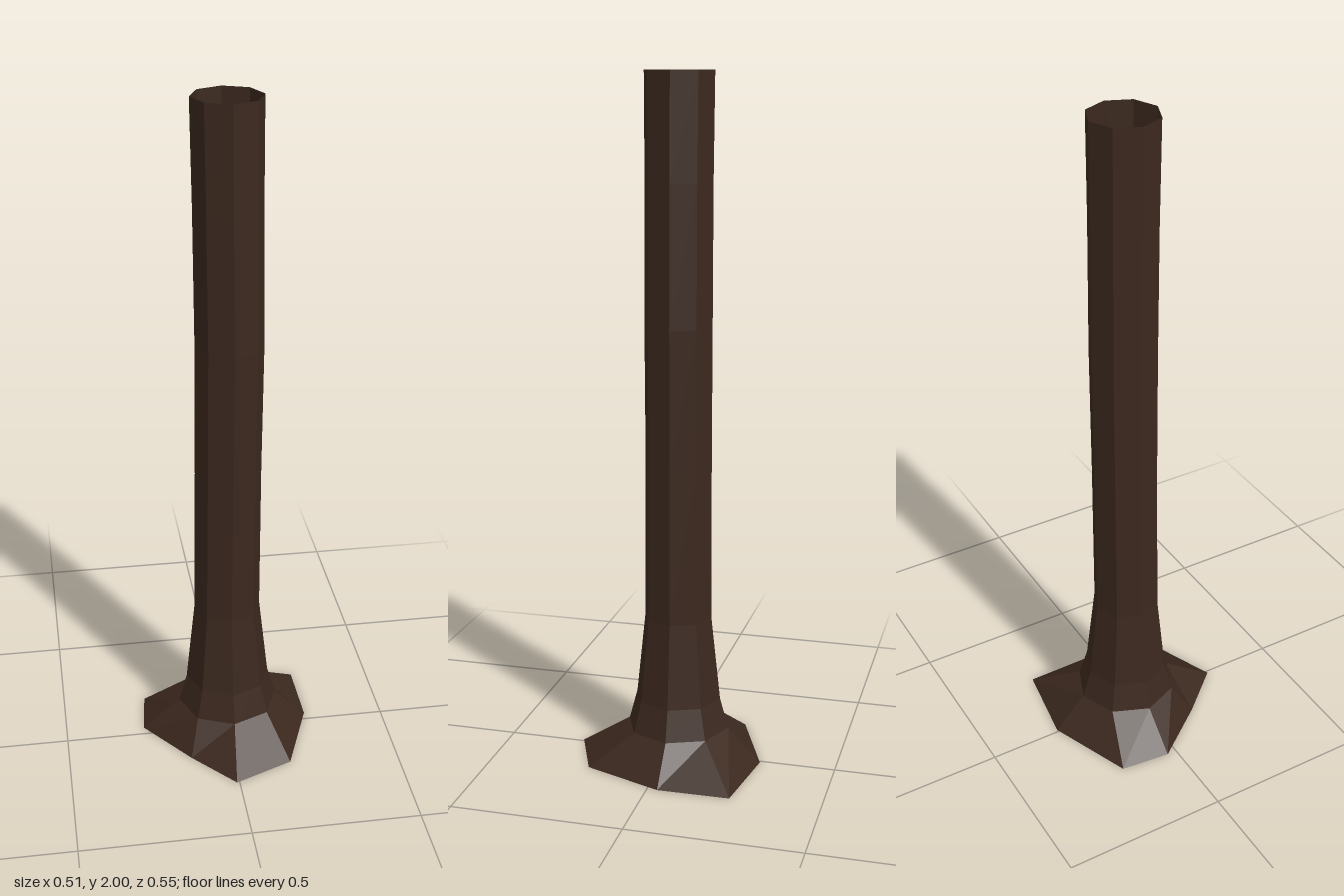
import * as THREE from 'three';

const SIDES = 8;

// Eight-sided ring: height, radius and centre of the trunk at that height
function ring(y, r, cx, cz = -0.03) {
  const points = [];
  for (let i = 0; i < SIDES; i++) {
    const a = (i / SIDES) * Math.PI * 2;
    points.push([cx + r * Math.cos(a), y, cz + r * Math.sin(a)]);
  }
  return points;
}

// Joins neighbouring rings with outward-facing quads
function loft(rings) {
  const index = [];
  for (let j = 0; j < rings.length - 1; j++) {
    for (let i = 0; i < SIDES; i++) {
      const n = (i + 1) % SIDES;
      const a = j * SIDES + i, b = j * SIDES + n;
      const c = a + SIDES, d = b + SIDES;
      index.push(a, c, b, b, c, d);
    }
  }
  const geometry = new THREE.BufferGeometry();
  geometry.setAttribute('position', new THREE.Float32BufferAttribute(rings.flat(2), 3));
  geometry.setIndex(index);
  const flat = geometry.toNonIndexed();
  flat.computeVertexNormals();
  return flat;
}

export function createModel() {
  const group = new THREE.Group();
  group.name = 'treeTrunk';
  const bark = new THREE.MeshStandardMaterial({
    color: 0x3b281e, flatShading: true, side: THREE.DoubleSide,
  });

  // Uneven outline of the roots on the ground
  const rootOutline = [
    [0.257, -0.03], [0.168, 0.203], [-0.008, 0.275], [-0.128, 0.14],
    [-0.258, -0.03], [-0.242, -0.18], [0.008, -0.278], [0.254, -0.24],
  ].map(([x, z]) => [x, 0, z]);
  const collar = ring(0.1, 0.152, 0.008, -0.029);

  // Flared roots, open underneath
  const roots = new THREE.Mesh(loft([rootOutline, collar]), bark);
  roots.name = 'rootFlare';

  // Hollow trunk with a slight bend, open at the top
  const trunk = new THREE.Mesh(loft([
    collar,
    ring(0.19, 0.127, 0.007, -0.028),
    ring(0.44, 0.1, 0.006, -0.027),
    ring(0.9, 0.098, 0.01, -0.028),
    ring(1.3, 0.099, 0.014, -0.028),
    ring(1.7, 0.098, 0.01, -0.028),
    ring(2, 0.1, 0.007, -0.028),
  ]), bark);
  trunk.name = 'trunk';

  group.add(roots, trunk);
  return group;
}
